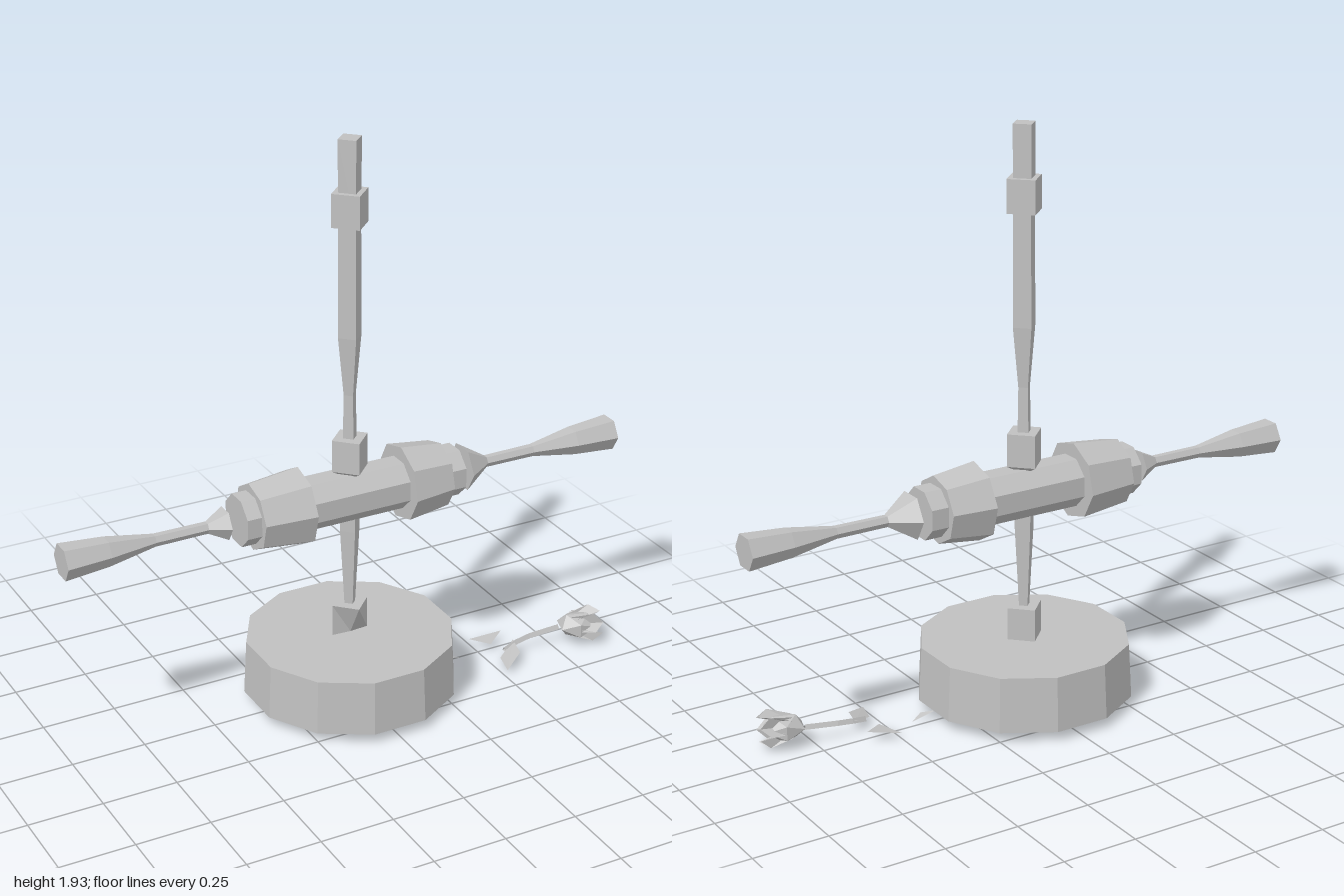
import * as THREE from 'three';

const gray = new THREE.MeshStandardMaterial({ color: 0xc0c0c0, flatShading: true, side: THREE.DoubleSide });
gray.name = 'gray';

const AXLE_Y = 0.728;

// Faceted solid of revolution; profile is [radius, height] from bottom to top
function turned(name, profile, sides, start = 0) {
  const points = profile.map(([r, y]) => new THREE.Vector2(r, y));
  const mesh = new THREE.Mesh(new THREE.LatheGeometry(points, sides, start), gray);
  mesh.name = name;
  return mesh;
}

// Same, laid along the axle, side = 1 for +x and -1 for -x
function turnedAlongX(name, profile, sides, side, start = 0) {
  const mesh = turned(name, profile, sides, start);
  mesh.rotation.z = -side * Math.PI / 2;
  mesh.position.y = AXLE_Y;
  return mesh;
}

// Open surface from a fan of corners
function fan(name, corners) {
  const geometry = new THREE.BufferGeometry();
  geometry.setAttribute('position', new THREE.Float32BufferAttribute(corners.flat(), 3));
  const index = [];
  for (let i = 1; i < corners.length - 1; i++) index.push(0, i, i + 1);
  geometry.setIndex(index);
  geometry.computeVertexNormals();
  const mesh = new THREE.Mesh(geometry, gray);
  mesh.name = name;
  return mesh;
}

function createFlower() {
  const flower = new THREE.Group();
  flower.name = 'flower';

  // Bent stem, three-sided
  const path = new THREE.CatmullRomCurve3([
    new THREE.Vector3(0.56, 0.03, 0.075),
    new THREE.Vector3(0.64, 0.045, 0.06),
    new THREE.Vector3(0.78, 0.06, 0.07),
  ]);
  const stem = new THREE.Mesh(new THREE.TubeGeometry(path, 4, 0.01, 3), gray);
  stem.name = 'stem';
  flower.add(stem);

  // Leaves and loose scraps on the ground
  flower.add(
    fan('leaf', [[0.51, 0.018, 0.18], [0.53, 0.02, 0.1], [0.61, 0.045, 0.05], [0.59, 0.04, 0.13]]),
    fan('looseLeaf', [[0.5, 0.02, -0.06], [0.61, 0.04, -0.03], [0.54, 0.03, 0.02]]),
    fan('fallenPetal', [[0.34, 0.035, 0.0], [0.38, 0.025, 0.03], [0.42, 0.008, 0.015]]),
  );

  // Bloom: faceted heart surrounded by cupped petals
  const bloom = new THREE.Group();
  bloom.name = 'bloom';
  bloom.position.set(0.84, 0.068, 0.095);
  const heart = new THREE.Mesh(new THREE.IcosahedronGeometry(1, 0), gray);
  heart.name = 'heart';
  heart.scale.set(0.065, 0.045, 0.055);
  bloom.add(heart);
  for (let i = 0; i < 6; i++) {
    const petal = fan('petal', [
      [-0.05, 0, 0], [-0.02, 0.03, -0.025], [0.045, 0.052, -0.03],
      [0.075, 0.042, 0], [0.045, 0.052, 0.03], [-0.02, 0.03, 0.025],
    ]);
    petal.rotation.x = i * Math.PI / 3;
    bloom.add(petal);
  }
  bloom.rotation.y = -0.3;
  bloom.scale.set(1.1, 1, 1.2);
  flower.add(bloom);
  return flower;
}

export function createModel() {
  const model = new THREE.Group();
  model.name = 'mallet stand';

  // Drum base with a shallow pointed underside
  model.add(turned('base', [[0, 0], [0.36, 0.035], [0.35, 0.22], [0, 0.22]], 12, Math.PI / 12));

  // Lower block, its front corner cut away at the foot
  const block = turned('lowerBlock', [[0, 0.22], [0.065, 0.22], [0.065, 0.33], [0, 0.33]], 4);
  const p = block.geometry.attributes.position;
  for (let i = 0; i < p.count; i++) {
    if (p.getY(i) < 0.25 && p.getZ(i) > 0.05) p.setZ(i, 0.005);
  }
  model.add(block);

  // Square posts set on edge, and their collars
  model.add(
    turned('lowerPost', [[0.02, 0.33], [0.036, 0.6], [0.038, 0.7]], 4),
    turned('upperPost', [[0.025, 0.79], [0.025, 0.93], [0.022, 1.08], [0.042, 1.28],
      [0.04, 1.65], [0.042, 1.93], [0, 1.93]], 4),
    turned('middleBlock', [[0, 0.8], [0.03, 0.8], [0.065, 0.82], [0.065, 0.93], [0, 0.93]], 4),
    turned('upperBlock', [[0, 1.65], [0.065, 1.65], [0.065, 1.76], [0, 1.76]], 4),
  );

  // Cross bar
  model.add(turnedAlongX('crossBar',
    [[0, -0.405], [0.087, -0.405], [0.087, 0.39], [0, 0.39]], 8, 1, Math.PI / 8));

  // Collars and handles on both ends
  for (const side of [1, -1]) {
    const collarEnd = side > 0 ? 0.33 : 0.355;
    model.add(turnedAlongX('collar',
      [[0, 0.18], [0.131, 0.18], [0.112, collarEnd], [0, collarEnd]], 8, side, 0.12));
    const [flareX, flareR] = side > 0 ? [0.42, 0.08] : [0.445, 0.055];
    model.add(turnedAlongX('handle',
      [[0, flareX], [flareR, flareX], [0.02, 0.51], [0.021, 0.69],
        [0.048, 0.85], [0.06, 1], [0, 1]], 6, side));
  }

  model.add(createFlower());
  return model;
}
